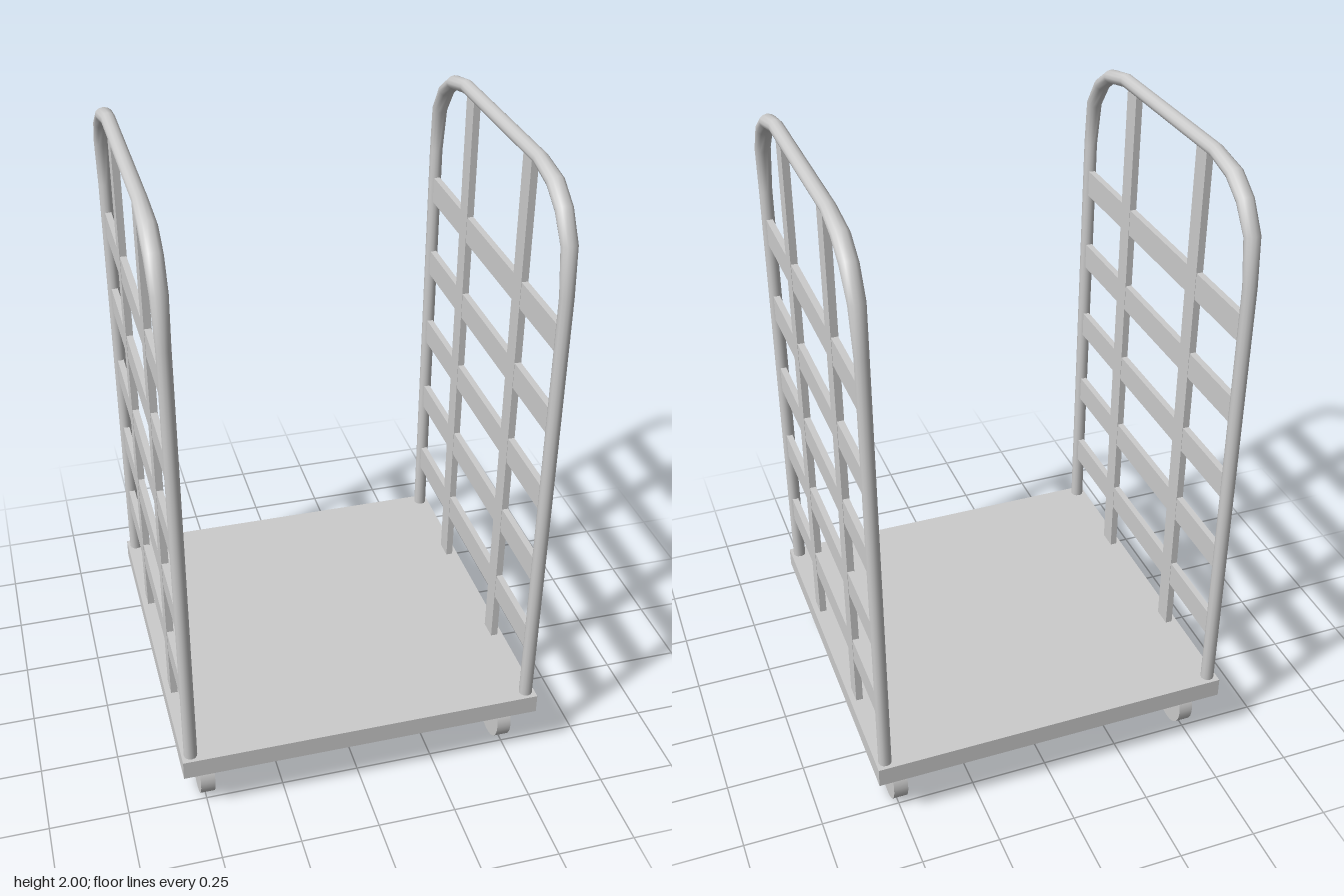
import * as THREE from 'three';

const grey = new THREE.MeshStandardMaterial({ color: 0xcccccc });
const sheet = new THREE.MeshStandardMaterial({ color: 0xcccccc, side: THREE.DoubleSide });

function add(parent, name, geometry, x, y, z, material = grey) {
  const mesh = new THREE.Mesh(geometry, material);
  mesh.name = name;
  mesh.position.set(x, y, z);
  parent.add(mesh);
  return mesh;
}

// Half of the bent hoop: z, y, half width across x
const halfHoop = [
  [0.546, 0.24, 0.021], [0.546, 1.68, 0.021], [0.53, 1.825, 0.025],
  [0.475, 1.907, 0.027], [0.405, 1.956, 0.027], [0.295, 1.979, 0.0225],
];

// Tube lofted from mitred rings along the hoop
function hoopGeometry(sides = 12, radius = 0.021) {
  const path = [...halfHoop, ...halfHoop.slice().reverse().map(([z, y, w]) => [-z, y, w])];
  const positions = [], indices = [];
  path.forEach(([z, y, w], i) => {
    const a = path[Math.max(i - 1, 0)], b = path[Math.min(i + 1, path.length - 1)];
    const inDir = new THREE.Vector2(z - a[0], y - a[1]).normalize();
    const outDir = new THREE.Vector2(b[0] - z, b[1] - y).normalize();
    const t = inDir.add(outDir).normalize();
    for (let j = 0; j < sides; j++) {
      const angle = (j / sides) * Math.PI * 2;
      const r = Math.sin(angle) * radius;
      positions.push(Math.cos(angle) * w, y - t.x * r, z + t.y * r);
      if (i === path.length - 1) continue;
      const k = (j + 1) % sides;
      const p = i * sides + j, q = i * sides + k;
      indices.push(p, p + sides, q, q, p + sides, q + sides);
    }
  });
  const geometry = new THREE.BufferGeometry();
  geometry.setAttribute('position', new THREE.Float32BufferAttribute(positions, 3));
  geometry.setIndex(indices);
  geometry.computeVertexNormals();
  return geometry;
}

// Side frame: hoop, two uprights and five slats
function sideFrame() {
  const frame = new THREE.Group();
  add(frame, 'hoopTube', hoopGeometry(), 0, 0, 0, sheet);
  for (const z of [-0.231, 0.231]) {
    add(frame, 'upright', new THREE.BoxGeometry(0.022, 1.73, 0.062), 0, 1.105, z);
  }
  for (let i = 0; i < 5; i++) {
    add(frame, 'slat', new THREE.BoxGeometry(0.02, 0.086, 1.06), 0, 0.464 + i * 0.27, 0);
  }
  return frame;
}

// Fork cheek: leans in and narrows towards the axle
function cheekGeometry(side) {
  const geometry = new THREE.BoxGeometry(0.008, 0.107, 0.088);
  const p = geometry.attributes.position;
  for (let i = 0; i < p.count; i++) {
    const bottom = p.getY(i) < 0;
    p.setX(i, p.getX(i) + side * (bottom ? 0.031 : 0.04));
    if (bottom) p.setZ(i, p.getZ(i) * 0.76);
  }
  geometry.computeVertexNormals();
  return geometry;
}

function caster() {
  const group = new THREE.Group();
  const wheel = new THREE.CylinderGeometry(0.087, 0.087, 0.046, 32).rotateZ(Math.PI / 2);
  add(group, 'wheel', wheel, 0, 0.087, 0);
  const axle = new THREE.CylinderGeometry(0.01, 0.01, 0.066, 12).rotateZ(Math.PI / 2);
  add(group, 'axle', axle, 0, 0.09, 0);
  for (const side of [-1, 1]) add(group, 'forkCheek', cheekGeometry(side), 0, 0.1335, 0.004);
  return group;
}

export function createModel() {
  const model = new THREE.Group();
  model.name = 'platformTrolley';

  add(model, 'deck', new THREE.BoxGeometry(1.156, 0.065, 1.156), 0, 0.2175, 0);

  for (const side of [-1, 1]) {
    const frame = sideFrame();
    frame.name = side > 0 ? 'leftFrame' : 'rightFrame';
    frame.position.x = side * 0.549;
    model.add(frame);

    for (const end of [-1, 1]) {
      const wheel = caster();
      wheel.name = (end > 0 ? 'front' : 'back') + (side > 0 ? 'Left' : 'Right') + 'Caster';
      wheel.position.set(side * 0.496, 0, end * 0.437);
      wheel.rotation.y = end > 0 ? 0 : Math.PI;
      model.add(wheel);
    }
  }
  return model;
}
